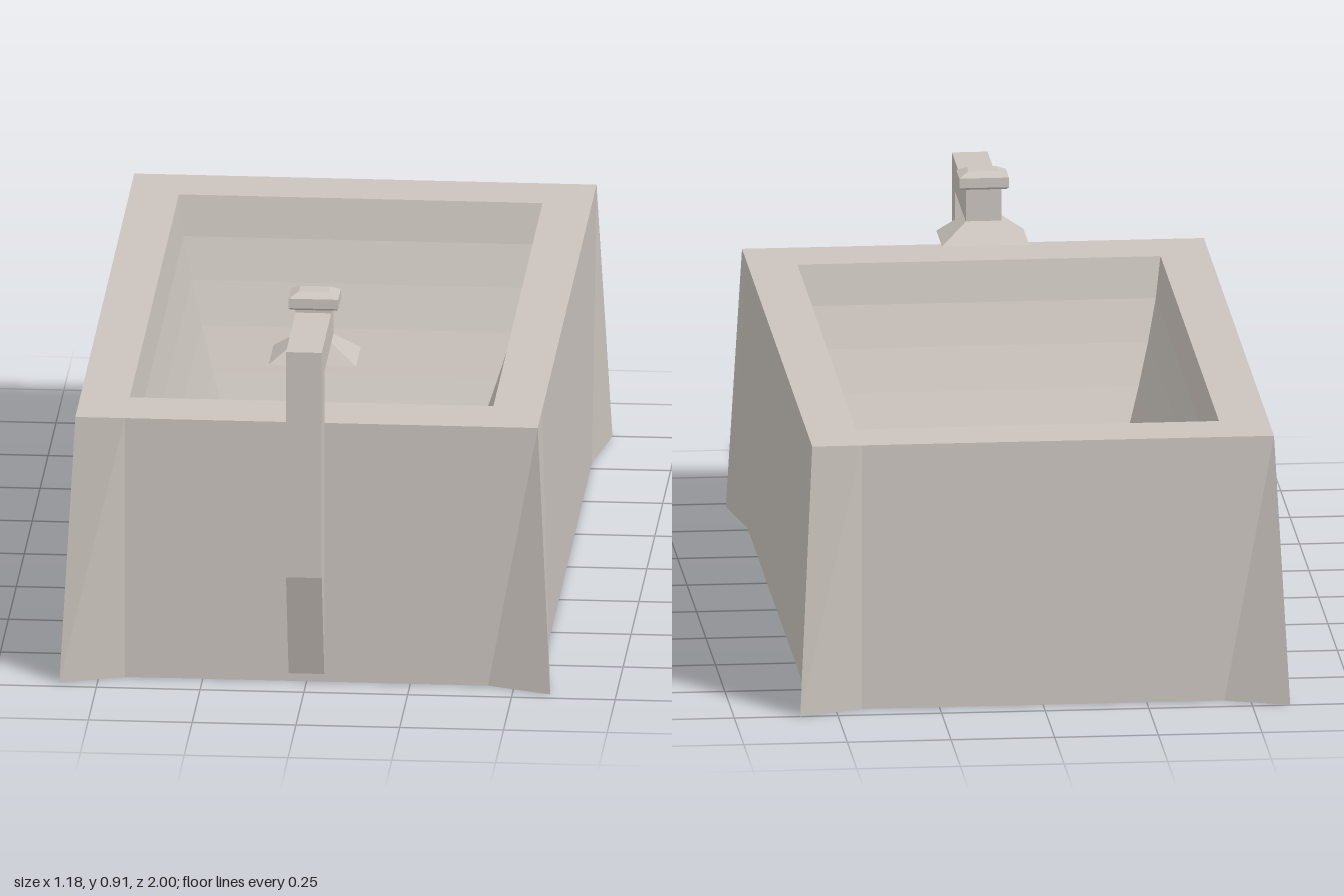
import * as THREE from 'three';

// Joins closed rings of [x, y, z] points into a faceted solid, capped at both ends.
function loft(rings) {
  const pos = [];
  const tri = (a, b, c) => pos.push(...a, ...b, ...c);
  const middle = (ring) => [0, 1, 2].map((k) => ring.reduce((s, p) => s + p[k], 0) / ring.length);
  const first = rings[0], last = rings[rings.length - 1], n = first.length;
  const base = middle(first), top = middle(last);
  for (let i = 0; i < n; i++) {
    const j = (i + 1) % n;
    tri(base, first[j], first[i]);
    for (let r = 0; r < rings.length - 1; r++) {
      const a = rings[r], b = rings[r + 1];
      tri(a[i], a[j], b[j]);
      tri(a[i], b[j], b[i]);
    }
    tri(last[i], last[j], top);
  }
  const g = new THREE.BufferGeometry();
  g.setAttribute('position', new THREE.Float32BufferAttribute(pos, 3));
  g.computeVertexNormals();
  return g;
}

// Rectangular ring about (0, zc).
const rect = (y, hx, hz, zc) => [[hx, y, zc + hz], [hx, y, zc - hz], [-hx, y, zc - hz], [-hx, y, zc + hz]];

// Rectangle with extra points beside each corner; the corners may flare out by (fx, fz).
function tubRing(y, hx, z0, z1, fx = 0, fz = 0) {
  const ex = hx * 0.785, s1 = z1 - 0.146, s0 = z0 + 0.146;
  const half = [[hx + fx, z1 + fz], [hx, s1], [hx, s0], [hx + fx, z0 - fz], [ex, z0]];
  const other = half.map(([x, z]) => [-x, z]).reverse();
  return [[ex, z1], ...half, ...other, [-ex, z1]].map(([x, z]) => [x, y, z]);
}

export function createModel() {
  const model = new THREE.Group();
  const stone = new THREE.MeshStandardMaterial({ color: 0xcbc4be });
  stone.name = 'warm grey';
  stone.flatShading = true;
  const add = (name, geometry) => {
    const mesh = new THREE.Mesh(geometry, stone);
    mesh.name = name;
    model.add(mesh);
  };

  // Tub: flared outer shell, flat rim, then a gently curved basin
  const rings = [tubRing(0, 0.557, -0.943, 0.916, 0.034, 0.056), tubRing(0.655, 0.557, -0.943, 0.916)];
  const steps = 6, mix = THREE.MathUtils.lerp;
  for (let i = 0; i <= steps; i++) {
    const s = i / steps, t = Math.pow(s, 1.4);
    rings.push(tubRing(mix(0.655, 0.07, s), mix(0.438, 0.271, t), mix(-0.793, -0.497, t), mix(0.757, 0.455, t)));
  }
  add('tub', loft(rings));

  // Tap pipe: side profile in (z, y), extruded across x
  const profile = [[0.91, 0.02], [0.918, 0.02], [1, 0.29], [1, 0.86], [0.632, 0.86], [0.632, 0.785], [0.918, 0.785], [0.91, 0.64]];
  const shape = new THREE.Shape(profile.map(([z, y]) => new THREE.Vector2(z, y)));
  const pipe = new THREE.ExtrudeGeometry(shape, { depth: 0.086, bevelEnabled: false });
  pipe.rotateY(-Math.PI / 2).translate(0.043, 0, 0);
  add('tapPipe', pipe);

  // Spout flaring out below the arm
  add('spout', loft([rect(0.738, 0.105, 0.075, 0.657), rect(0.786, 0.043, 0.034, 0.664)]));

  // Knob on a short neck
  add('knobNeck', loft([rect(0.855, 0.043, 0.034, 0.664), rect(0.872, 0.043, 0.034, 0.664)]));
  add('knob', loft([
    rect(0.867, 0.055, 0.038, 0.66), rect(0.872, 0.06, 0.042, 0.66),
    rect(0.896, 0.06, 0.042, 0.66), rect(0.908, 0.036, 0.022, 0.66),
  ]));

  return model;
}
